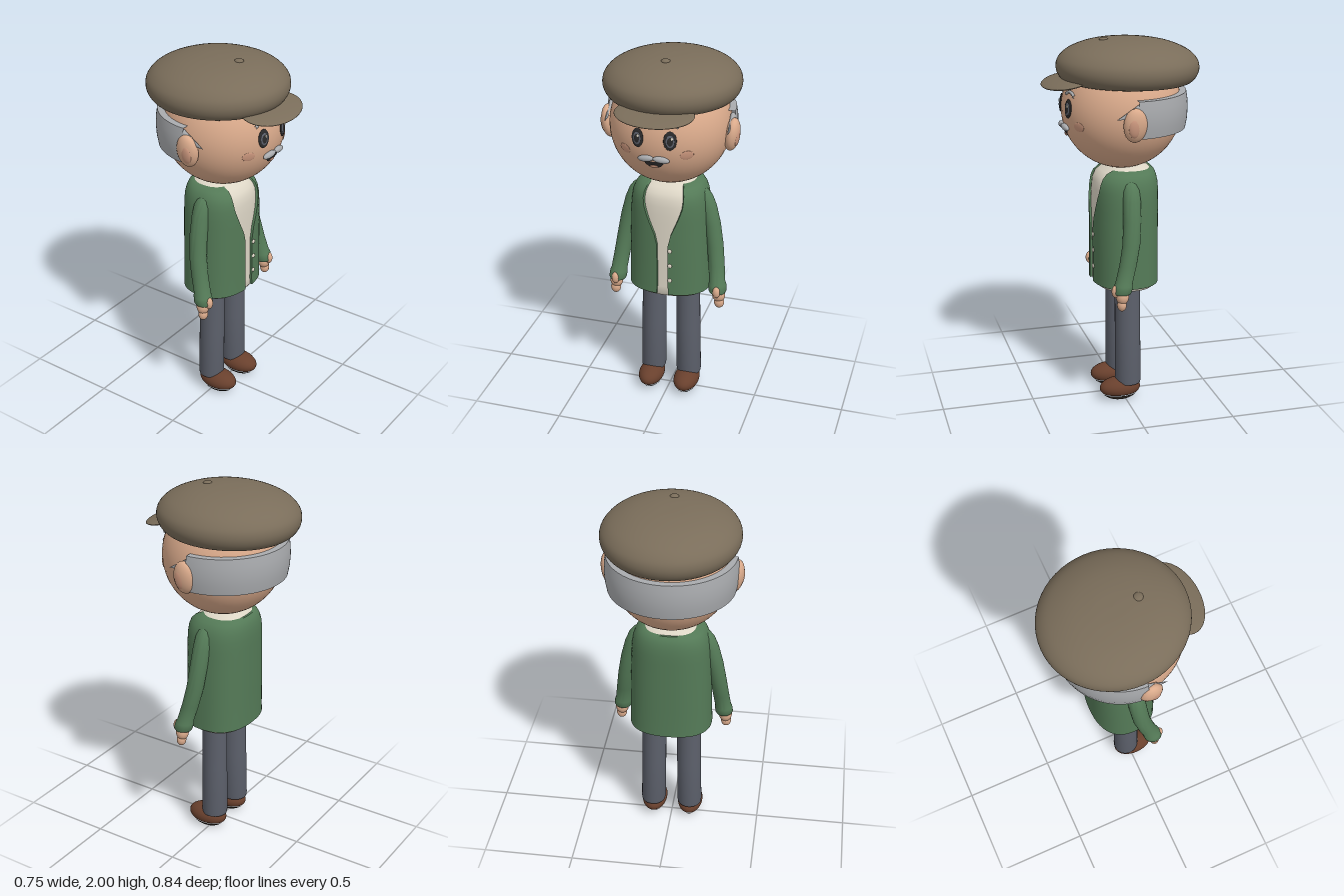
import * as THREE from 'three';
import { toCreasedNormals } from 'three/addons/utils/BufferGeometryUtils.js';

const mat = (name, color, side = THREE.FrontSide) => {
  const m = new THREE.MeshStandardMaterial({ color, side });
  m.name = name;
  return m;
};

export function createModel() {
  const root = new THREE.Group();
  const skin = mat('skin', 0xdbab8c);
  const capBrown = mat('capBrown', 0x7a6d5a);
  const green = mat('jacketGreen', 0x547a57, THREE.DoubleSide);
  const slate = mat('trouserSlate', 0x5c606b);
  const cream = mat('shirtCream', 0xddd6c6);
  const leather = mat('shoeLeather', 0x69402d);
  const soleDark = mat('soleDark', 0x3a332c);
  const grey = mat('hairGrey', 0xa9abae, THREE.DoubleSide);
  const dark = mat('eyeDark', 0x2c2b2c, THREE.DoubleSide);
  const blush = mat('blush', 0xcf9a80);

  const add = (name, geo, material, x = 0, y = 0, z = 0, parent = root) => {
    const m = new THREE.Mesh(geo, material);
    m.name = name;
    m.position.set(x, y, z);
    parent.add(m);
    return m;
  };
  const ball = (name, material, p, r, parent = root, seg = 24) => {
    const m = add(name, new THREE.SphereGeometry(1, seg, Math.ceil(seg * 0.7)), material, ...p, parent);
    m.scale.set(...r);
    return m;
  };

  // Skin over closed rings of equal length, listed from bottom to top
  const loft = (rings, crease = 0.8) => {
    const n = rings[0].length, idx = [];
    for (let i = 0; i < rings.length - 1; i++) for (let j = 0; j < n; j++) {
      const a = i * n + j, b = i * n + (j + 1) % n;
      idx.push(a, b, b + n, a, b + n, a + n);
    }
    const g = new THREE.BufferGeometry();
    g.setAttribute('position', new THREE.Float32BufferAttribute(rings.flat(2), 3));
    g.setIndex(idx);
    return toCreasedNormals(g, crease);
  };
  // Horizontal ellipse ring
  const ring = (x, y, z, rx, rz, n = 28) => Array.from({ length: n }, (_, j) => {
    const t = j / n * Math.PI * 2;
    return [x + rx * Math.sin(t), y, z + rz * Math.cos(t)];
  });

  // ---- Head ----
  const HY = 1.63, HZ = -0.01, HR = 0.32;
  const faceZ = (x, y) => HZ + Math.sqrt(HR * HR - x * x - (y - HY) ** 2);
  ball('head', skin, [0, HY, HZ], [HR, HR, HR], root, 48);
  // Thin disc lying on the face
  const faceDisc = (name, material, x, y, rx, ry, depth, lift = 0) => {
    const d = new THREE.Vector3(x, y - HY, faceZ(x, y) - HZ).normalize();
    const p = d.clone().multiplyScalar(HR + lift).add(new THREE.Vector3(0, HY, HZ));
    const m = ball(name, material, p.toArray(), [rx, ry, depth]);
    m.quaternion.setFromUnitVectors(new THREE.Vector3(0, 0, 1), d);
    return m;
  };

  for (const s of [1, -1]) {
    // Eyes, brows, cheeks
    faceDisc('eye', dark, s * 0.085, 1.655, 0.034, 0.05, 0.007);
    faceDisc('iris', slate, s * 0.085, 1.653, 0.022, 0.033, 0.004, 0.005);
    faceDisc('pupil', dark, s * 0.085, 1.653, 0.015, 0.023, 0.004, 0.007);
    faceDisc('eyeGlint', cream, s * 0.085 + 0.008, 1.668, 0.006, 0.008, 0.003, 0.011);
    faceDisc('cheek', blush, s * 0.162, 1.572, 0.036, 0.025, 0.004);
    const brow = [[0.04, 1.727], [0.065, 1.74], [0.095, 1.738], [0.123, 1.722]]
      .map(([x, y]) => new THREE.Vector3(s * x, y, faceZ(x, y) + 0.004));
    add('eyebrow', new THREE.TubeGeometry(new THREE.CatmullRomCurve3(brow), 16, 0.008, 8), grey);
    // Moustache half
    const mo = ball('moustache', grey, [s * 0.041, 1.55, 0.306], [0.044, 0.017, 0.016]);
    mo.rotation.set(0, s * 0.15, -s * 0.13);
    // Ear with inner fold
    const ear = new THREE.Group();
    ear.name = 'ear';
    ear.position.set(s * 0.333, 1.603, 0.007);
    ear.rotation.z = -s * 0.12;
    root.add(ear);
    ball('earShell', skin, [0, 0, 0], [0.04, 0.09, 0.062], ear);
    ball('earFold', blush, [s * 0.027, -0.005, 0.01], [0.015, 0.052, 0.032], ear);
    // Sideburn tuft reaching forward over the ear
    const tuft = add('sideburn', new THREE.ConeGeometry(0.04, 0.14, 16), grey, s * 0.328, 1.655, 0.035);
    tuft.scale.x = 0.45;
    tuft.rotation.set(Math.PI / 2 + 0.3, 0, 0);
  }

  // Smiling mouth, bent onto the face
  const smile = new THREE.Shape();
  smile.moveTo(-0.055, 1.54);
  smile.quadraticCurveTo(0, 1.525, 0.055, 1.54);
  smile.bezierCurveTo(0.045, 1.48, -0.045, 1.48, -0.055, 1.54);
  const mouthGeo = new THREE.ShapeGeometry(smile, 16), mp = mouthGeo.attributes.position;
  for (let i = 0; i < mp.count; i++) mp.setZ(i, faceZ(mp.getX(i), mp.getY(i)) + 0.007);
  mouthGeo.computeVertexNormals();
  add('mouth', mouthGeo, dark);
  faceDisc('tongue', blush, 0, 1.507, 0.022, 0.009, 0.004, 0.008);

  // Hair band around the back of the head
  const band = [[0.31, 1.53], [0.338, 1.53], [0.347, 1.58], [0.35, 1.63], [0.348, 1.68], [0.341, 1.725], [0.29, 1.725]];
  const hair = new THREE.LatheGeometry(band.map(p => new THREE.Vector2(...p)), 48, Math.PI / 2, Math.PI);
  add('hairBand', toCreasedNormals(hair, 0.7), grey, 0, 0, HZ);

  // ---- Flat cap ----
  const cap = new THREE.Group();
  cap.name = 'cap';
  cap.position.set(0, 1.77, -0.042);
  cap.rotation.x = -0.02;
  root.add(cap);
  const crown = new THREE.SplineCurve([[0.29, 0], [0.325, 0.008], [0.352, 0.04], [0.361, 0.082], [0.347, 0.125],
    [0.3, 0.168], [0.21, 0.205], [0.1, 0.224], [0, 0.228]].map(p => new THREE.Vector2(...p))).getPoints(40);
  crown[40].x = 0;
  const crownMesh = add('capCrown', new THREE.LatheGeometry([new THREE.Vector2(0, 0), ...crown], 56), capBrown, 0, 0, 0, cap);
  crownMesh.scale.z = 1.047;
  ball('capButton', capBrown, [0, 0.219, 0.132], [0.024, 0.012, 0.024], cap);
  const brim = ball('capBrim', capBrown, [0, 1.786, 0.287], [0.207, 0.018, 0.131], root, 36);
  brim.rotation.x = 0.2;

  // ---- Torso: rows of height, half width, half depth, centre z, half opening ----
  const rows = [
    [0.68, 0.226, 0.18, -0.02, 0.032], [0.72, 0.225, 0.179, -0.02, 0.031], [0.85, 0.222, 0.179, -0.02, 0.03],
    [0.98, 0.219, 0.179, -0.02, 0.031], [1.04, 0.217, 0.179, -0.02, 0.045], [1.1, 0.215, 0.179, -0.02, 0.071],
    [1.15, 0.213, 0.179, -0.02, 0.091], [1.2, 0.209, 0.178, -0.021, 0.107], [1.24, 0.202, 0.174, -0.022, 0.111],
    [1.27, 0.191, 0.165, -0.025, 0.108], [1.295, 0.173, 0.148, -0.032, 0.1], [1.31, 0.148, 0.126, -0.04, 0.095]];
  const EXP = 2.4, N = 56;
  const bend = v => Math.sign(v) * Math.abs(v) ** (2 / EXP);
  const arc = ([y, a, b, cz, w], inset) => {
    const t0 = w ? Math.asin((w / a) ** (EXP / 2)) : 0;
    return Array.from({ length: N + 1 }, (_, j) => {
      const t = t0 + (2 * Math.PI - 2 * t0) * j / N;
      return [(a - inset) * bend(Math.sin(t)), y, cz + (b - inset) * bend(Math.cos(t))];
    });
  };
  const shell = (row, outer) => [...arc(row, outer), ...arc(row, 0.014).reverse()];
  add('jacket', loft([shell(rows[0], 0.014), ...rows.map(r => shell(r, 0)), shell(rows.at(-1), 0.014)]), green);

  // Shirt inside the jacket, closed at both ends
  const shirtRow = r => arc([r[0], r[1] - 0.012, r[2] - 0.012, r[3], 0], 0).slice(0, N);
  const point = (y, z) => Array.from({ length: N }, () => [0, y, z]);
  const hem = [0.66, 0.212, 0.166, -0.02];
  add('shirt', loft([point(0.66, -0.02), shirtRow(hem), ...rows.map(shirtRow),
    shirtRow([1.325, 0.12, 0.105, -0.04]), point(1.33, -0.04)]), cream);

  // Buttons
  for (const y of [0.95, 0.86, 0.77]) ball('button', cream, [0.042, y, 0.159], [0.012, 0.012, 0.007], root, 16);

  for (const s of [1, -1]) {
    // Sleeve and cuff
    const arm = [[0.285, 0.695, 0.062, 0.02, 0.02], [0.285, 0.69, 0.063, 0.044, 0.046], [0.285, 0.7, 0.062, 0.049, 0.051],
      [0.282, 0.735, 0.054, 0.048, 0.05], [0.28, 0.745, 0.052, 0.044, 0.046], [0.268, 0.84, 0.026, 0.044, 0.046],
      [0.253, 0.95, 0.004, 0.045, 0.047], [0.232, 1.07, -0.006, 0.046, 0.048], [0.206, 1.17, -0.01, 0.047, 0.048],
      [0.189, 1.225, -0.011, 0.042, 0.044], [0.178, 1.255, -0.011, 0.031, 0.033], [0.172, 1.272, -0.011, 0.012, 0.012],
      [0.171, 1.274, -0.011, 0.001, 0.001]];
    add('sleeve', loft(arm.map(([x, y, z, a, b]) => ring(s * x, y, z, a, b))), green);
    // Hand
    ball('palm', skin, [s * 0.293, 0.672, 0.064], [0.036, 0.042, 0.034]);
    ball('fingers', skin, [s * 0.297, 0.628, 0.068], [0.028, 0.034, 0.025]);
    ball('thumb', skin, [s * 0.288, 0.704, 0.1], [0.021, 0.034, 0.021]);
    // Leg
    const leg = [[0.105, 0.1, -0.02, 0.04, 0.04], [0.105, 0.095, -0.02, 0.067, 0.069], [0.104, 0.115, -0.02, 0.07, 0.072],
      [0.1, 0.4, -0.018, 0.068, 0.07], [0.097, 0.69, -0.017, 0.066, 0.069]];
    add('trouserLeg', loft(leg.map(([x, y, z, a, b]) => ring(s * x, y, z, a, b))), slate);
    // Shoe: rounded upper and flattened sole
    const upper = add('shoe', new THREE.SphereGeometry(1, 32, 20, 0, Math.PI * 2, 0, 2.1), leather, s * 0.104, 0.065, 0.026);
    upper.scale.set(0.071, 0.058, 0.115);
    const soleGeo = new THREE.SphereGeometry(1, 32, 10, 0, Math.PI * 2, 2.1, Math.PI - 2.1), sp = soleGeo.attributes.position;
    for (let i = 0; i < sp.count; i++) sp.setY(i, Math.max(sp.getY(i) * 1.25 + 0.126, -1));
    soleGeo.computeVertexNormals();
    const sole = add('sole', soleGeo, soleDark, s * 0.104, 0.065, 0.026);
    sole.scale.set(0.071, 0.065, 0.115);
  }
  return root;
}
